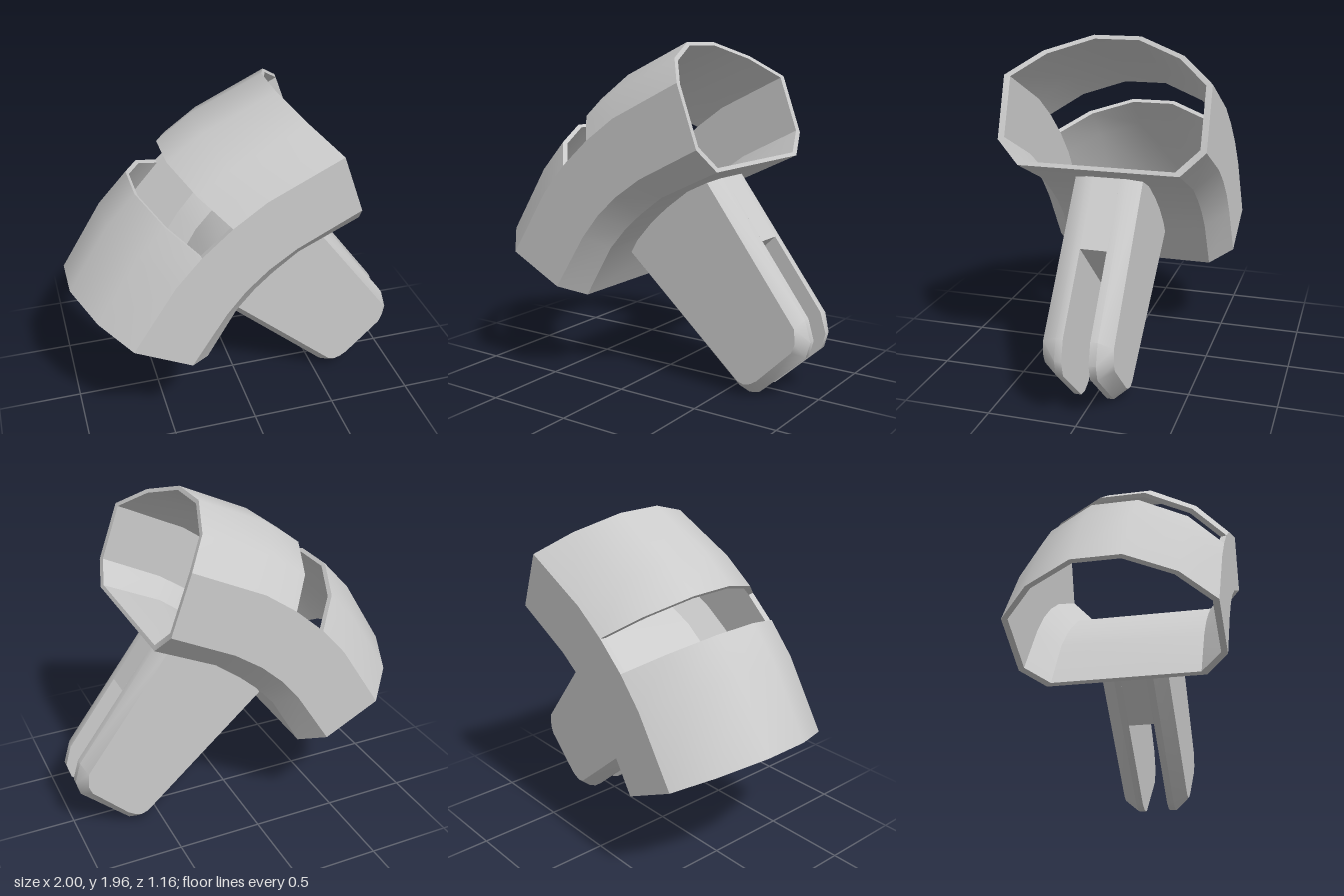
import * as THREE from 'three';
import { toCreasedNormals } from 'three/addons/utils/BufferGeometryUtils.js';

const material = new THREE.MeshStandardMaterial({ color: 0xcccccc });

// Collects triangles and quads, then makes a mesh with sharp edges kept
function builder() {
  const pos = [];
  const tri = (a, b, c, flip) => (flip ? [a, c, b] : [a, b, c]).forEach(p => pos.push(...p));
  const quad = (a, b, c, d, flip) => { tri(a, b, c, flip); tri(a, c, d, flip); };
  const mesh = name => {
    const g = new THREE.BufferGeometry();
    g.setAttribute('position', new THREE.Float32BufferAttribute(pos, 3));
    const m = new THREE.Mesh(toCreasedNormals(g, 0.58), material);
    m.name = name;
    return m;
  };
  return { tri, quad, mesh };
}

// Curves running along the sleeve, one point per station
const crest = [[-1, .89], [-.76, 1.28], [-.595, 1.46], [-.41, 1.625], [-.21, 1.77], [.205, 1.96]];
const shoulder = [[-.725, .73], [-.48, 1.11], [-.335, 1.275], [-.165, 1.425], [.02, 1.555], [.435, 1.755]];
const lower = [[-.40, .565], [-.2, .88], [-.09, 1.015], [.035, 1.13], [.195, 1.24], [.555, 1.42]];
const floor = [[-.28, .505], [-.105, .805], [0, .925], [.105, 1.02], [.25, 1.13], [.6, 1.295]];
const slope = crest.map(([x, y], i) => [x + (shoulder[i][0] - x) * .41, y + (shoulder[i][1] - y) * .41]);
const rails = [[crest, .135], [slope, .4], [shoulder, .58], [lower, .58], [floor, .45]];

// Ten-sided ring at a station; k shrinks it towards its centre
function ring(i, k) {
  const cx = (crest[i][0] + floor[i][0]) / 2, cy = (crest[i][1] + floor[i][1]) / 2;
  const half = rails.map(([r, z]) => [cx + (r[i][0] - cx) * k, cy + (r[i][1] - cy) * k, z * k]);
  return [...half, ...half.map(([x, y, z]) => [x, y, -z]).reverse()];
}

// Curved hollow sleeve with a slot across its roof
function sleeve() {
  const b = builder(), n = 10, last = 5, gap = 2;
  const outer = crest.map((_, i) => ring(i, 1)), inner = crest.map((_, i) => ring(i, .94));
  const isRoof = j => [0, 1, 7, 8, 9].includes(j);
  const rim = (i, j, flip) => {
    const k = (j + 1) % n;
    b.quad(outer[i][j], inner[i][j], inner[i][k], outer[i][k], flip);
  };
  for (let j = 0; j < n; j++) {
    const k = (j + 1) % n;
    for (let i = 0; i < last; i++) {
      if (i === gap && isRoof(j)) continue;
      b.quad(outer[i][j], outer[i][k], outer[i + 1][k], outer[i + 1][j]);
      b.quad(inner[i][j], inner[i][k], inner[i + 1][k], inner[i + 1][j], true);
    }
    rim(0, j, false);
    rim(last, j, true);
    if (isRoof(j)) {
      rim(gap, j, true);
      rim(gap + 1, j, false);
    }
  }
  // Side ends of the slot
  for (const j of [2, 7])
    b.quad(outer[gap][j], outer[gap + 1][j], inner[gap + 1][j], inner[gap][j], j === 7);
  return b.mesh('sleeve');
}

// Grip outline, and the smaller outline of its flat side face
const top = [[.25, 1.145], [.1, 1.035], [-.012, .935], [-.117, .82]];
const outline = [[-.185, .685], [.56, .025], [.625, 0], [.685, .01], [.74, .06], [.97, .27],
  [.995, .36], [.96, .48], [.415, 1.215], ...top];
const face = [[-.155, .735], [.59, .08], [.63, .068], [.67, .08], [.71, .105], [.92, .31],
  [.94, .36], [.935, .445], [.375, 1.195], ...top];

// One chamfered half of the grip, on side s of the slot
function prong(s, name) {
  const b = builder();
  const layers = [[outline, .075], [outline, .115], [face, .195]]
    .map(([pts, z]) => pts.map(([x, y]) => [x, y, s * z]));
  for (let l = 0; l < 2; l++)
    outline.forEach((_, j) => {
      const k = (j + 1) % outline.length;
      b.quad(layers[l][j], layers[l][k], layers[l + 1][k], layers[l + 1][j], s < 0);
    });
  const cap = (loop, flip) => {
    const pts = loop.map(p => new THREE.Vector2(p[0], p[1]));
    for (const [p, q, r] of THREE.ShapeUtils.triangulateShape(pts, []))
      b.tri(loop[p], loop[q], loop[r], flip);
  };
  cap(layers[2], s < 0);
  cap(layers[0], s > 0);
  return b.mesh(name);
}

// Solid middle that joins the prongs above the slot
function gripCore() {
  const pts = [[-.185, .685], [.147, .391], [.668, .874], [.415, 1.215], ...top];
  const g = new THREE.ExtrudeGeometry(new THREE.Shape(pts.map(p => new THREE.Vector2(...p))),
    { depth: .15, bevelEnabled: false });
  g.translate(0, 0, -.075);
  const m = new THREE.Mesh(g, material);
  m.name = 'gripCore';
  return m;
}

export function createModel() {
  const model = new THREE.Group();
  model.name = 'slottedSleeveWithGrip';
  const grip = new THREE.Group();
  grip.name = 'grip';
  grip.add(prong(1, 'frontProng'), prong(-1, 'backProng'), gripCore());
  model.add(sleeve(), grip);
  return model;
}
